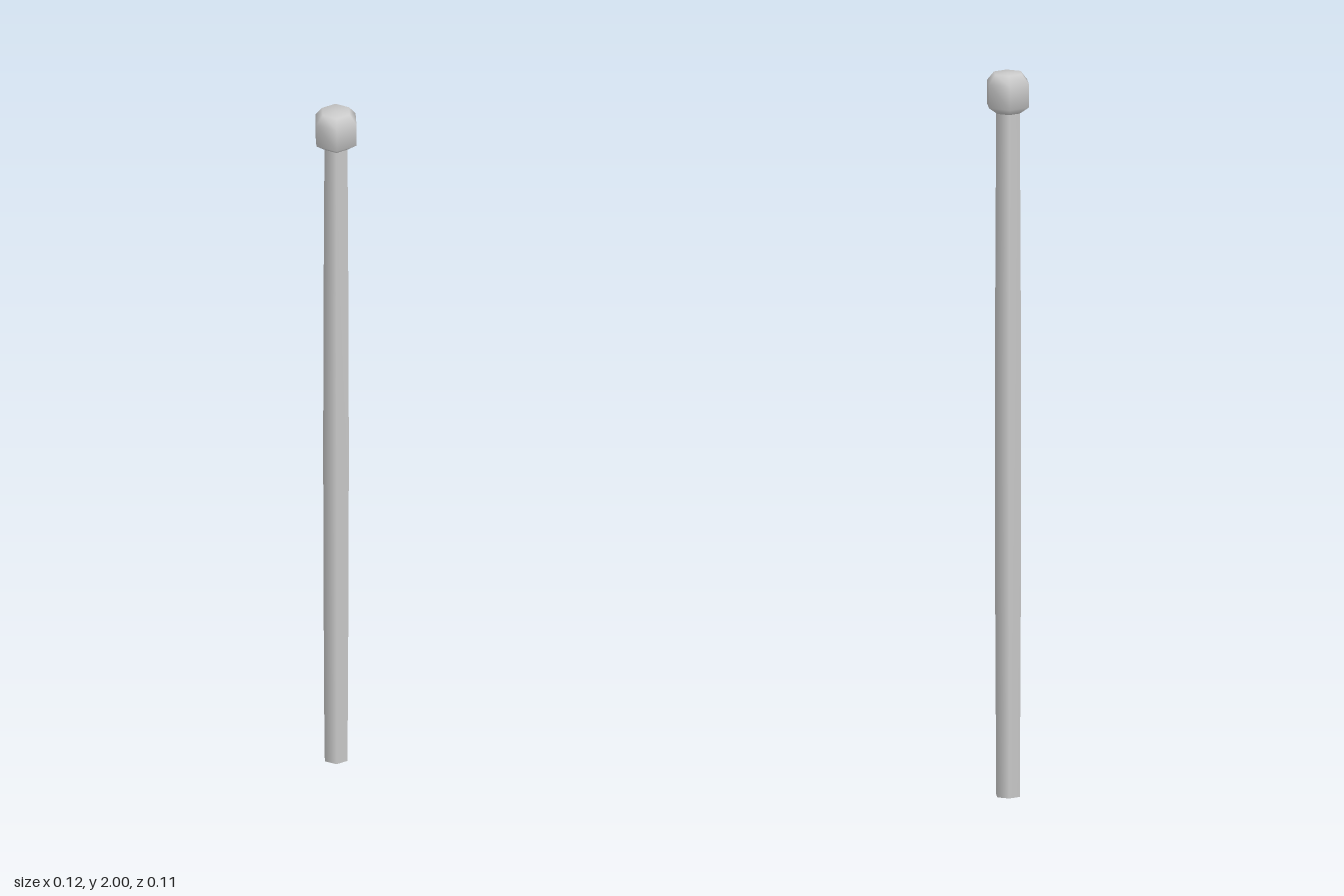
import * as THREE from 'three';

const SIDES = 6;

export function createModel() {
  const group = new THREE.Group();
  const material = new THREE.MeshStandardMaterial({ color: 0xcccccc });

  // Six-sided turned part, corners on the x axis; profile runs bottom to top
  function turned(name, profile) {
    const points = profile.map(([r, y]) => new THREE.Vector2(r, y));
    const mesh = new THREE.Mesh(new THREE.LatheGeometry(points, SIDES, Math.PI / 2), material);
    mesh.name = name;
    group.add(mesh);
  }

  // Shaft, swelling gently towards the middle
  const shaft = [];
  const steps = 8, shaftTop = 1.9;
  for (let i = 0; i <= steps; i++) {
    const t = i / steps;
    shaft.push([0.035 + 0.004 * Math.sin(Math.PI * t), shaftTop * t]);
  }
  turned('shaft', shaft);

  // Flat foot closing the shaft
  turned('foot', [[0, 0], [0.035, 0]]);

  // Knob with bevelled shoulders and a flat top
  turned('knob', [[0.034, 1.89], [0.0625, 1.91], [0.0625, 1.975], [0.042, 2], [0, 2]]);

  return group;
}
